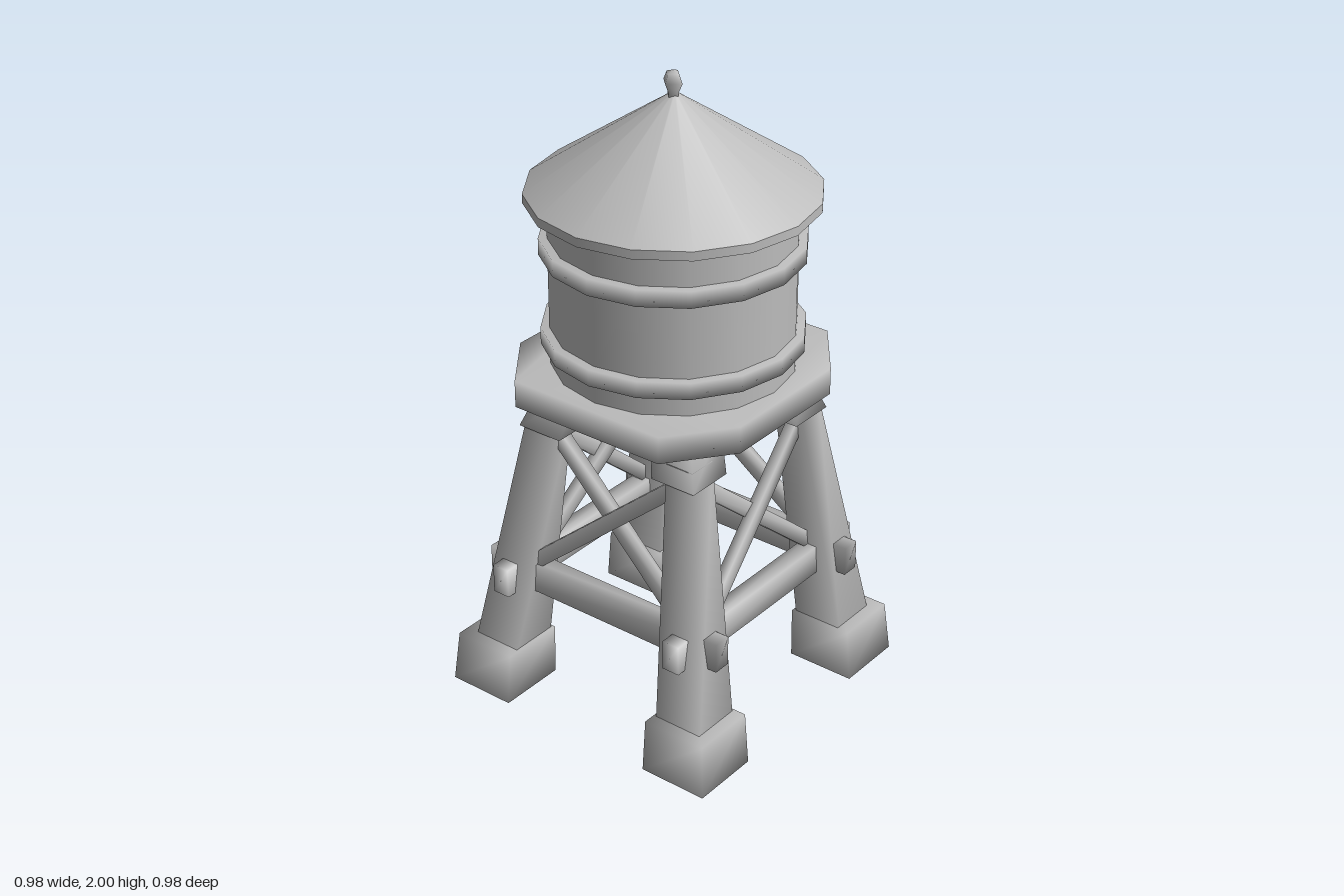
import * as THREE from 'three';
import { mergeVertices } from 'three/addons/utils/BufferGeometryUtils.js';

const grey = new THREE.MeshStandardMaterial({ color: 0xbcbcbc });
grey.name = 'plain grey';

// Share corners so shading flows softly over the chunky shapes
function soften(geometry) {
  geometry.deleteAttribute('uv');
  geometry.deleteAttribute('normal');
  const merged = mergeVertices(geometry, 1e-4);
  merged.computeVertexNormals();
  return merged;
}

function add(parent, name, geometry) {
  const mesh = new THREE.Mesh(geometry, grey);
  mesh.name = name;
  parent.add(mesh);
  return mesh;
}

// Leaning tapered block on the diagonal: c = centre on x and z, h = half width
function leaningBlock(sx, sz, y0, c0, h0, y1, c1, h1) {
  const g = new THREE.BoxGeometry(2, 1, 2);
  const p = g.attributes.position;
  for (let i = 0; i < p.count; i++) {
    const top = p.getY(i) > 0;
    const c = top ? c1 : c0, h = top ? h1 : h0;
    p.setXYZ(i, sx * c + p.getX(i) * h, top ? y1 : y0, sz * c + p.getZ(i) * h);
  }
  return soften(g);
}

// Straight board between two points
function board(a, b, height, depth) {
  const dir = b.clone().sub(a);
  const g = new THREE.BoxGeometry(dir.length(), height, depth);
  const x = dir.normalize();
  const z = new THREE.Vector3(0, 0, 1).addScaledVector(x, -x.z).normalize();
  const y = z.clone().cross(x);
  const m = new THREE.Matrix4().makeBasis(x, y, z);
  m.setPosition(a.clone().add(b).multiplyScalar(0.5));
  return soften(g.applyMatrix4(m));
}

export function createModel() {
  const tower = new THREE.Group();
  tower.name = 'waterTower';

  // Four legs, each with a foot and a cap
  for (const sx of [-1, 1]) {
    for (const sz of [-1, 1]) {
      const leg = new THREE.Group();
      leg.name = 'legAssembly';
      add(leg, 'foot', leaningBlock(sx, sz, 0, 0.378, 0.112, 0.165, 0.37, 0.105));
      add(leg, 'leg', leaningBlock(sx, sz, 0.1, 0.362, 0.083, 0.95, 0.26, 0.047));
      add(leg, 'legCap', leaningBlock(sx, sz, 0.895, 0.25, 0.077, 1.03, 0.207, 0.07));
      tower.add(leg);
    }
  }

  // One braced side, repeated around the tower
  for (let i = 0; i < 4; i++) {
    const side = new THREE.Group();
    side.name = 'bracedSide';
    const beam = add(side, 'crossBeam', soften(new THREE.BoxGeometry(0.87, 0.095, 0.058)));
    beam.position.set(0, 0.397, 0.328);
    for (const s of [-1, 1]) {
      const shift = s * 0.012;
      const low = new THREE.Vector3(-0.3 * s, 0.42, 0.325 + shift);
      const high = new THREE.Vector3(0.26 * s, 0.89, 0.265 + shift);
      add(side, 'diagonalBrace', board(low, high, 0.048, 0.035));
    }
    side.rotation.y = i * Math.PI / 2;
    tower.add(side);
  }

  // Platform with clipped corners
  const outline = [
    [0.41, -0.265], [0.41, 0.265], [0.22, 0.41], [-0.22, 0.41],
    [-0.41, 0.265], [-0.41, -0.265], [-0.22, -0.41], [0.22, -0.41],
  ].map(([x, y]) => new THREE.Vector2(x, y));
  const deck = new THREE.ExtrudeGeometry(new THREE.Shape(outline), { depth: 0.085, bevelEnabled: false });
  deck.rotateX(-Math.PI / 2);
  add(tower, 'platform', soften(deck)).position.y = 1.015;

  // Tank and its two hoops
  const tank = add(tower, 'tank', new THREE.CylinderGeometry(0.366, 0.366, 0.54, 16));
  tank.position.y = 1.36;
  for (const y of [1.192, 1.478]) {
    const hoop = add(tower, 'tankHoop', soften(new THREE.CylinderGeometry(0.392, 0.392, 0.052, 16)));
    hoop.position.y = y;
  }

  // Conical roof with a thin upright rim
  add(tower, 'roof', new THREE.CylinderGeometry(0.012, 0.433, 0.285, 16, 1, true)).position.y = 1.787;
  add(tower, 'roofRim', new THREE.CylinderGeometry(0.433, 0.433, 0.028, 16)).position.y = 1.63;

  // Small faceted knob at the peak
  const knob = [[0, 1.9], [0.018, 1.915], [0.02, 1.935], [0.034, 1.965], [0.022, 1.992], [0, 2]]
    .map(([r, y]) => new THREE.Vector2(r, y));
  add(tower, 'roofKnob', new THREE.LatheGeometry(knob, 4)).position.x = -0.005;

  return tower;
}
